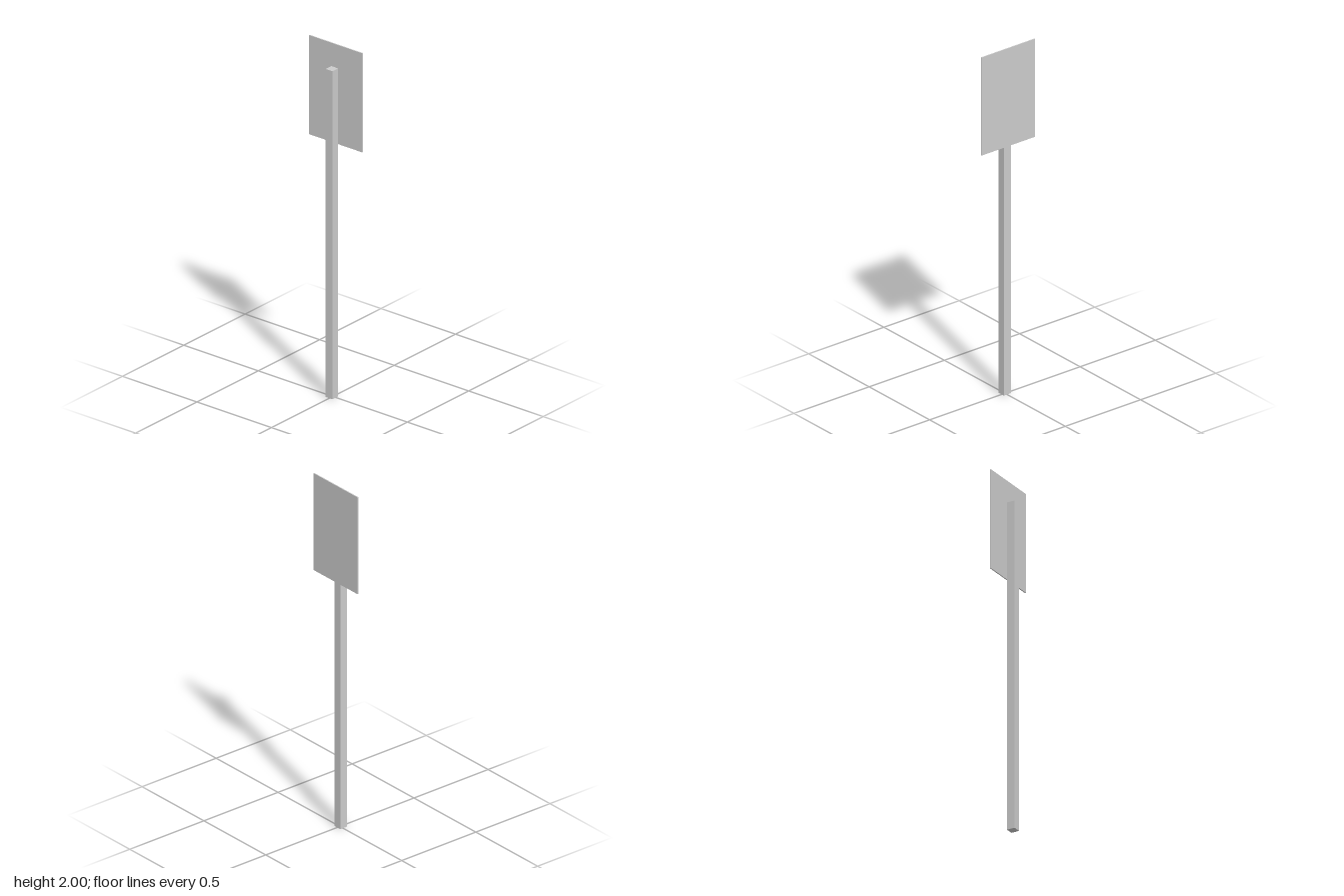
import * as THREE from 'three';

export function createModel() {
  const model = new THREE.Group();
  model.name = 'signpost';
  const material = new THREE.MeshStandardMaterial({ color: 0xcccccc, flatShading: true });

  // Box given by its lower and upper corners
  const addBox = (name, min, max) => {
    const size = max.map((v, i) => v - min[i]);
    const mesh = new THREE.Mesh(new THREE.BoxGeometry(...size), material);
    mesh.position.set(...max.map((v, i) => (v + min[i]) / 2));
    mesh.name = name;
    model.add(mesh);
  };

  // Square post, slightly off the panel's centre line
  addBox('post', [-0.025, 0, -0.018], [0.021, 1.87, 0.028]);

  // Thin sign panel standing just clear behind the post
  addBox('signPanel', [-0.178, 1.435, -0.029], [0.178, 2, -0.023]);

  return model;
}
